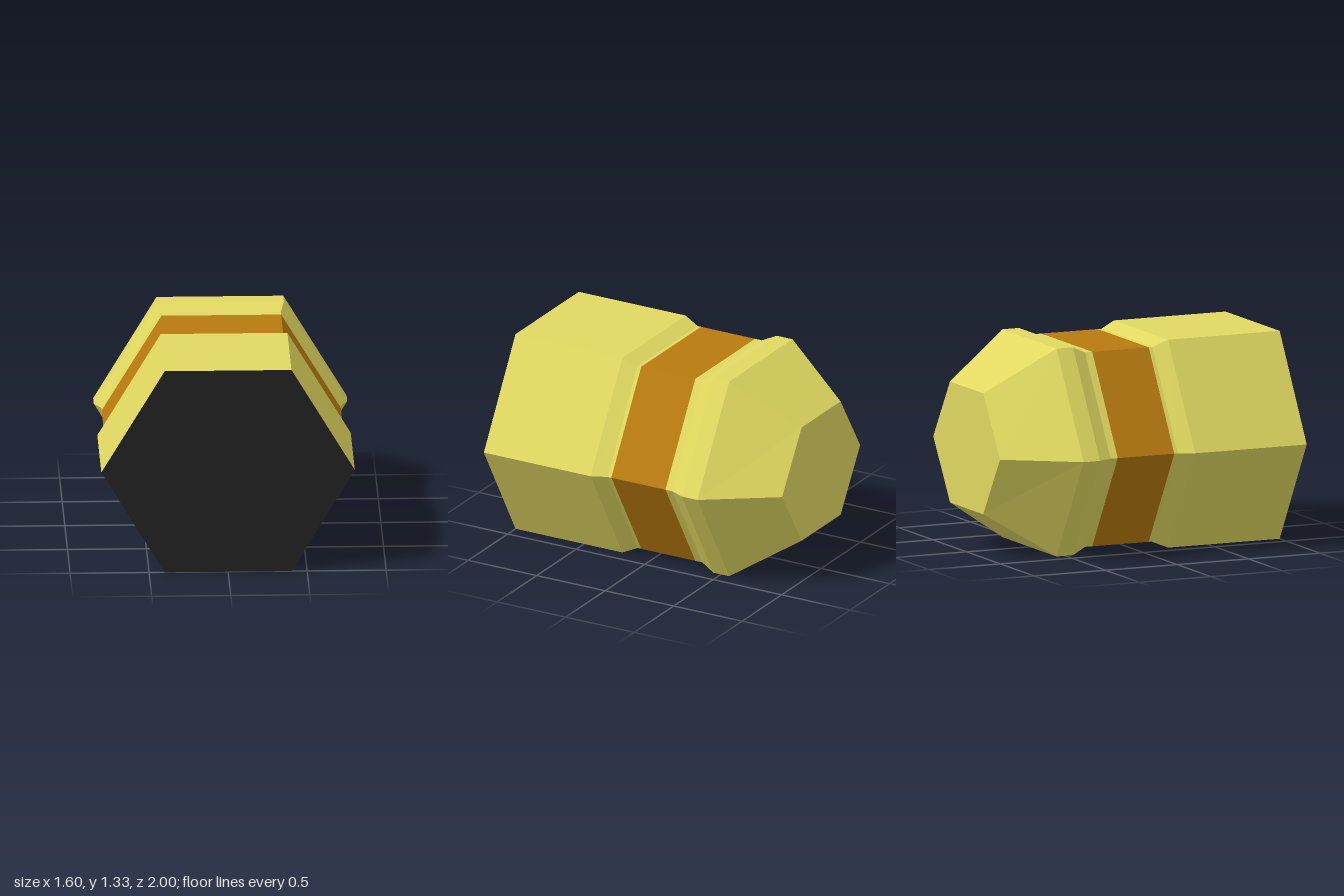
import * as THREE from 'three';

const CENTER_Y = 0.667;

// Hexagon ring: half width w, half height h, at depth z; counter-clockwise seen from +z
const ring = ([z, w, h]) =>
  [[1, 0], [0.5, 1], [-0.5, 1], [-1, 0], [-0.5, -1], [0.5, -1]].map(([x, y]) => [x * w, y * h, z]);

function flatGeometry(corners) {
  const g = new THREE.BufferGeometry();
  g.setAttribute('position', new THREE.Float32BufferAttribute(corners.flat(), 3));
  g.computeVertexNormals(); // unshared corners give flat facets
  return g;
}

// Skin between successive rings, listed from front to back
function loft(profile) {
  const rings = profile.map(ring);
  const tris = [];
  for (let k = 0; k < rings.length - 1; k++) {
    const a = rings[k], b = rings[k + 1];
    for (let i = 0; i < 6; i++) {
      const j = (i + 1) % 6;
      tris.push(a[i], b[i], b[j], a[i], b[j], a[j]);
    }
  }
  return flatGeometry(tris);
}

// Flat hexagonal end
function cap(section, facesBack) {
  const p = ring(section);
  const tris = [];
  for (let i = 1; i < 5; i++) {
    tris.push(...(facesBack ? [p[0], p[i + 1], p[i]] : [p[0], p[i], p[i + 1]]));
  }
  return flatGeometry(tris);
}

export function createModel() {
  const group = new THREE.Group();
  const material = (name, color) => {
    const m = new THREE.MeshStandardMaterial({ color, flatShading: true });
    m.name = name;
    return m;
  };
  const yellow = material('yellow', 0xe0d860);
  const orange = material('orange', 0xb87a10);
  const black = material('black', 0x222222);

  const add = (name, geometry, mat) => {
    const mesh = new THREE.Mesh(geometry, mat);
    mesh.name = name;
    mesh.position.y = CENTER_Y;
    group.add(mesh);
  };

  // Sections as [z, half width, half height]
  const front = [1, 0.802, 0.667];
  const bandFront = [0.095, 0.757, 0.624];
  const bandBack = [-0.3, 0.757, 0.624];
  const back = [-1, 0.494, 0.388];

  add('frontBody', loft([front, [0.22, 0.802, 0.667], [0.12, 0.757, 0.624], bandFront]), yellow);
  add('grooveBand', loft([bandFront, bandBack]), orange);
  add('rearBody', loft([bandBack, [-0.35, 0.757, 0.624], [-0.445, 0.802, 0.667],
    [-0.56, 0.802, 0.667], back]), yellow);
  add('frontFace', cap(front, false), black);
  add('rearFace', cap(back, true), yellow);
  return group;
}
